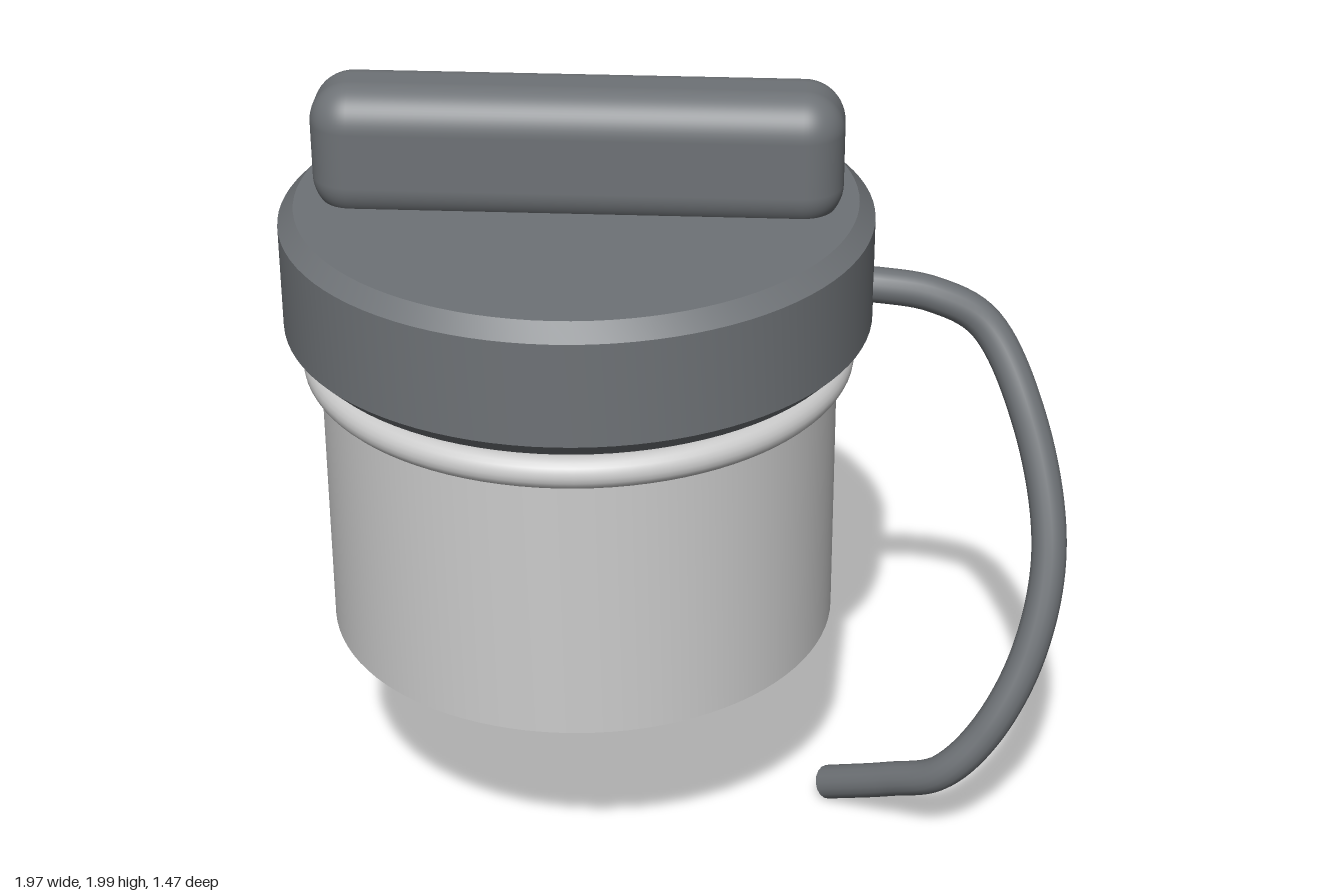
import * as THREE from 'three';
import { toCreasedNormals } from 'three/addons/utils/BufferGeometryUtils.js';
import { RoundedBoxGeometry } from 'three/addons/geometries/RoundedBoxGeometry.js';

const AXIS_X = -0.255; // the cap axis sits left of centre, the tether balances it

export function createModel() {
  const model = new THREE.Group();
  model.name = 'tetheredCap';
  const dark = new THREE.MeshStandardMaterial({ color: 0x6e7276 });
  const light = new THREE.MeshStandardMaterial({ color: 0xcccccc });

  const add = (name, geometry, material, x = 0, y = 0, z = 0) => {
    const mesh = new THREE.Mesh(geometry, material);
    mesh.name = name;
    mesh.position.set(x, y, z);
    model.add(mesh);
    return mesh;
  };
  // Turned part with crisp profile corners
  const turned = (profile) => toCreasedNormals(
    new THREE.LatheGeometry(profile.map(([r, y]) => new THREE.Vector2(r, y)), 96), 0.5);

  // Cap with chamfered rims, and the plug that reaches down into the sleeve
  add('cap', turned([
    [0, 1.355], [0.695, 1.355], [0.735, 1.395], [0.735, 1.66], [0.695, 1.7], [0, 1.7],
  ]), dark, AXIS_X);
  add('plug', turned([[0, 0.93], [0.572, 0.93], [0.572, 1.3], [0.63, 1.3], [0.63, 1.36], [0, 1.36]]), dark, AXIS_X);

  // Open sleeve and sealing ring
  add('sleeve', turned([
    [0.57, 0.55], [0.65, 0.55], [0.65, 1.3], [0.57, 1.3], [0.57, 0.55],
  ]), light, AXIS_X);
  const ring = add('sealRing', new THREE.TorusGeometry(0.652, 0.041, 20, 96), light, AXIS_X, 1.287);
  ring.rotation.x = Math.PI / 2;

  // Grip bar, sunk slightly into the cap
  add('gripBar', new RoundedBoxGeometry(1.3, 0.34, 0.258, 8, 0.1), dark, AXIS_X + 0.005, 1.83, 0);

  // Hanging tether cord
  const path = new THREE.CatmullRomCurve3([
    [0.4, 1.48, 0], [0.5, 1.473, -0.005], [0.63, 1.447, -0.014], [0.76, 1.375, -0.01],
    [0.88, 1.15, 0.083], [0.94, 0.85, 0.2], [0.9, 0.59, 0.28], [0.8, 0.375, 0.325],
    [0.69, 0.24, 0.317], [0.56, 0.15, 0.225], [0.4, 0.05, 0.103],
  ].map((p) => new THREE.Vector3(...p)));
  const radius = 0.045;
  add('tether', new THREE.TubeGeometry(path, 96, radius, 16), dark);

  // Flat end of the cord
  const end = path.getPoint(1);
  const tip = add('tetherEnd', new THREE.CircleGeometry(radius, 16), dark, end.x, end.y, end.z);
  tip.quaternion.setFromUnitVectors(new THREE.Vector3(0, 0, 1), path.getTangent(1));

  return model;
}
